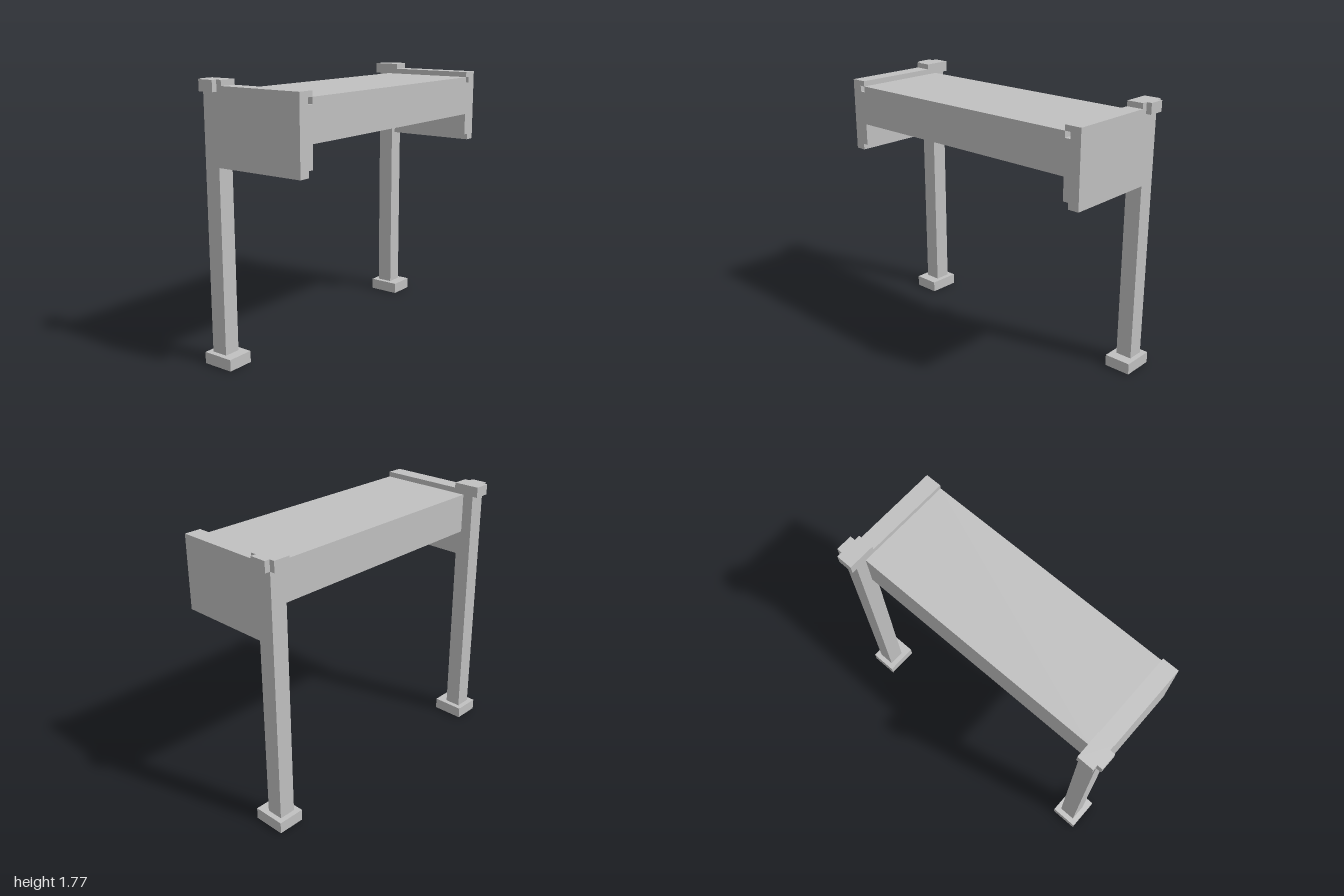
import * as THREE from 'three';

export function createModel() {
  const model = new THREE.Group();
  model.name = 'portalFrame';
  const grey = new THREE.MeshStandardMaterial({ color: 0xc0c0c0 });
  grey.name = 'plain grey';

  const add = (name, geometry) => {
    const mesh = new THREE.Mesh(geometry, grey);
    mesh.name = name;
    model.add(mesh);
  };
  // Box given by its lower and upper limits on each axis
  const box = (name, x0, x1, y0, y1, z0, z1) => {
    const g = new THREE.BoxGeometry(x1 - x0, y1 - y0, z1 - z0);
    add(name, g.translate((x0 + x1) / 2, (y0 + y1) / 2, (z0 + z1) / 2));
  };
  const extrude = (points, depth) => new THREE.ExtrudeGeometry(
    new THREE.Shape(points.map(([a, b]) => new THREE.Vector2(a, b))),
    { depth, bevelEnabled: false });

  // Wide beam between the two sides
  box('beam', -0.275, 0.38, 1.44, 1.70, -0.855, 0.855);

  // Side panel section (z, y): square groove near the top, rebate at the bottom
  const panel = [[0.965, 1.255], [0.965, 1.735], [0.855, 1.735], [0.855, 1.70],
    [0.893, 1.70], [0.893, 1.66], [0.855, 1.66], [0.855, 1.295],
    [0.893, 1.295], [0.893, 1.255]];
  // Cap plan (x, z): outer corners notched
  const cap = [[-0.385, 0.855], [-0.385, 0.965], [-0.35, 0.965], [-0.35, 1],
    [-0.24, 1], [-0.24, 0.965], [-0.203, 0.965], [-0.203, 0.855]];

  for (const [side, s] of [['front', 1], ['back', -1]]) {
    const span = (a, b) => (s > 0 ? [a, b] : [-b, -a]);
    box(side + 'Foot', -0.385, -0.17, 0, 0.075, ...span(0.82, 1));
    box(side + 'Post', -0.35, -0.24, 0.075, 1.70, ...span(0.855, 0.965));
    add(side + 'Panel', extrude(panel.map(([z, y]) => [-s * z, y]), 0.62)
      .rotateY(Math.PI / 2).translate(-0.24, 0, 0));
    add(side + 'Cap', extrude(cap.map(([x, z]) => [x, -s * z]), 0.07)
      .rotateX(-Math.PI / 2).translate(0, 1.70, 0));
  }
  return model;
}
